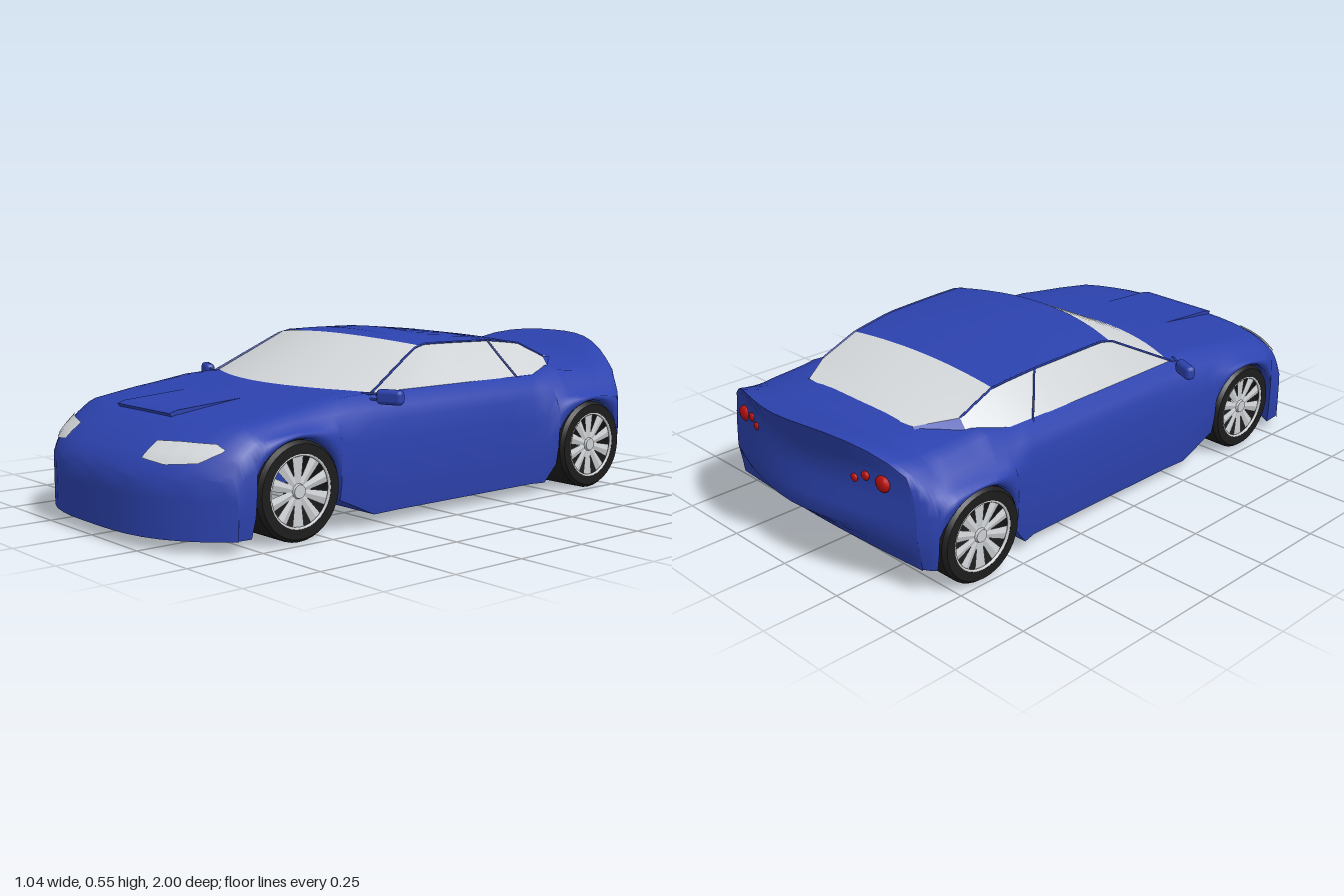
import * as THREE from 'three';
import { toCreasedNormals } from 'three/addons/utils/BufferGeometryUtils.js';
import { RoundedBoxGeometry } from 'three/addons/geometries/RoundedBoxGeometry.js';

const mat = (name, color, side = THREE.FrontSide) => {
  const m = new THREE.MeshStandardMaterial({ color, side });
  m.name = name;
  return m;
};
const paint = mat('bluePaint', 0x2c42ae, THREE.DoubleSide);
const glass = mat('paleGlass', 0xd4d8db, THREE.DoubleSide);
const rubber = mat('blackRubber', 0x1c1c1c);
const silver = mat('silverAlloy', 0xcccfd2);
const red = mat('redLens', 0xbc1010);

const V = (x, y, z) => new THREE.Vector3(x, y, z);
const mix = THREE.MathUtils.lerp;
const mesh = (name, geo, material) => {
  const m = new THREE.Mesh(geo, material);
  m.name = name;
  return m;
};

// Piecewise linear value from [position, value] keys in rising order
function key(u, keys) {
  if (u <= keys[0][0]) return keys[0][1];
  for (let i = 1; i < keys.length; i++) {
    const [a, va] = keys[i - 1], [b, vb] = keys[i];
    if (u <= b) return mix(va, vb, (u - a) / (b - a));
  }
  return keys[keys.length - 1][1];
}

// Surface through rows of points
function loft(rows, crease = 0.7) {
  const n = rows[0].length, pos = [], idx = [];
  rows.forEach(r => r.forEach(p => pos.push(p.x, p.y, p.z)));
  for (let i = 0; i < rows.length - 1; i++) {
    for (let j = 0; j < n - 1; j++) {
      const a = i * n + j, b = a + 1, c = a + n, d = c + 1;
      idx.push(a, b, c, b, d, c);
    }
  }
  const g = new THREE.BufferGeometry();
  g.setAttribute('position', new THREE.Float32BufferAttribute(pos, 3));
  g.setIndex(idx);
  return toCreasedNormals(g, crease);
}

// Row bowed across the car, from its edge to its centre line and back
function arc(w, yEdge, zEdge, yMid, zMid) {
  const row = [];
  for (let i = 0; i <= 16; i++) {
    const t = 1 - i / 8;
    row.push(V(w * t, mix(yMid, yEdge, t * t), mix(zMid, zEdge, t * t)));
  }
  return row;
}

const AXLES = [0.595, -0.65], ARCH = 0.152, AXLE_Y = 0.148;
const NOSE = 0.8, TAIL = -0.83; // flank ends; the middle reaches 1 and -1

// Lower edge of the body side, with wheel arches
function sill(z) {
  for (const a of AXLES) {
    const d = z - a;
    if (Math.abs(d) < ARCH) return AXLE_Y + Math.sqrt(ARCH * ARCH - d * d);
  }
  return key(z, [[-0.81, 0.09], [-0.5, 0.1], [-0.45, 0.037], [0.303, 0.037], [0.44, 0.1], [0.7, 0.035]]);
}

// One ring of the body; side is z at the flank, cap limits the height
function bodyRing(side, cap = 9) {
  const s = Math.sign(side), reach = (s > 0 ? NOSE : -TAIL) - 0.6;
  const f = Math.max(0, (Math.abs(side) - 0.6) / reach);
  const u = f > 0 ? s * (0.6 + 0.4 * f) : side;
  const w = key(u, [[-1, 0.435], [-0.97, 0.468], [-0.94, 0.484], [-0.88, 0.495], [-0.6, 0.497], [-0.47, 0.475],
    [-0.4, 0.457], [0.2, 0.46], [0.45, 0.474], [0.6, 0.482], [0.8, 0.482], [1, 0.472]]);
  const yc = key(u, [[-1, 0.49], [-0.85, 0.438], [-0.7, 0.433], [-0.56, 0.43], [-0.45, 0.4], [0.38, 0.4],
    [0.6, 0.376], [0.82, 0.347], [0.9, 0.304], [0.96, 0.26], [0.985, 0.232], [1, 0.2]]);
  const ys = key(u, [[-1, 0.31], [-0.85, 0.318], [0.6, 0.318], [0.85, 0.302], [0.95, 0.26], [1, 0.2]]);
  const y4 = mix(ys, yc, key(u, [[-1, 0.4], [-0.8, 0.6], [-0.6, 0.72], [-0.45, 0.95], [0.35, 0.95], [0.6, 0.78]]));
  const yb = sill(side), x4 = Math.min(w - 0.03, 0.405);
  // The floor lifts between the wheels of each axle
  const yf = Math.min(yb, key(u, [[-1, 0.09], [-0.93, 0.13], [-0.55, 0.13], [-0.45, 0.037],
    [0.303, 0.037], [0.44, 0.13], [0.8, 0.13], [0.9, 0.035]]));
  const half = [[0, yf], [0.14, yf], [0.27, yf], [0.27, yb], [w - 0.012, yb],
    [w - 0.003, mix(yb, ys, 0.25)], [w, mix(yb, ys, 0.5)], [w - 0.002, mix(yb, ys, 0.78)],
    [Math.min(w - 0.008, 0.461), ys], [Math.min(w - 0.018, 0.438), mix(ys, y4, 0.48)], [x4, y4]];
  for (const k of [0.88, 0.75, 0.6, 0.45, 0.3, 0.15, 0]) half.push([x4 * k, yc - (yc - y4) * k ** 3]);
  const place = ([x, y0]) => {
    const y = Math.min(y0, cap);
    if (f === 0) return V(x, y, side);
    const depth = s > 0 ? 0.4
      : key(y, [[0.1, 0.25], [0.19, 0.357], [0.365, 0.33], [0.42, 0.36], [0.49, 0.4]]);
    const r = Math.min(1, x / 0.48) ** (s > 0 ? 3.2 : 1.7);
    return V(x, y, s * (0.6 + f * mix(depth, reach, r)));
  };
  const pts = half.map(place);
  return [...pts, ...pts.slice(0, -1).reverse().map(p => V(-p.x, p.y, p.z))];
}

function bodyShell() {
  const stations = [0.303, -0.45, -0.56];
  for (const d of [0, 0.002, 0.006, 0.012, 0.018, 0.025, 0.035]) stations.push(NOSE - d, TAIL + d);
  for (let z = -0.4; z < 0.42; z += 0.1) stations.push(z);
  for (const a of AXLES) {
    stations.push(a - ARCH - 0.001, a + ARCH + 0.001);
    for (let i = 0; i <= 20; i++) stations.push(a + (ARCH - 0.0005) * Math.cos(i * Math.PI / 20));
  }
  stations.sort((a, b) => a - b);
  const rear = [0.09, 0.13, 0.19, 0.24, 0.3, 0.365, 0.4, 0.45].map(c => bodyRing(TAIL, c));
  const front = [0.15, 0.09, 0.035].map(c => bodyRing(NOSE, c));
  return loft([...rear, ...stations.map(z => bodyRing(z)), ...front], 1.2);
}

function wheel() {
  const g = new THREE.Group();
  const profile = [[0.109, -0.105], [0.138, -0.105], [0.148, -0.092], [0.148, 0.092],
    [0.138, 0.105], [0.109, 0.105], [0.109, -0.105]].map(p => new THREE.Vector2(...p));
  const tyre = mesh('tyre', toCreasedNormals(new THREE.LatheGeometry(profile, 36), 0.6), rubber);
  tyre.rotation.z = -Math.PI / 2;
  const rim = mesh('rim', new THREE.TorusGeometry(0.107, 0.005, 8, 36), silver);
  rim.rotation.y = Math.PI / 2;
  rim.position.x = 0.1;
  const hub = mesh('hub', new THREE.CylinderGeometry(0.02, 0.03, 0.03, 16), silver);
  hub.rotation.z = -Math.PI / 2;
  hub.position.x = 0.085;
  g.add(tyre, rim, hub);
  const spokeGeo = new THREE.CylinderGeometry(0.021, 0.01, 0.095, 4).toNonIndexed();
  spokeGeo.computeVertexNormals();
  spokeGeo.scale(0.3, 1, 1).translate(0.09, 0.061, 0);
  for (let i = 0; i < 10; i++) {
    const spoke = mesh('spoke', spokeGeo, silver);
    spoke.rotation.x = i * Math.PI / 5;
    g.add(spoke);
  }
  return g;
}

const trim = pts => new THREE.TubeGeometry(new THREE.CatmullRomCurve3(pts, false, 'catmullrom', 0.1), 20, 0.0035, 5);

export function createModel() {
  const car = new THREE.Group();
  car.name = 'sportsCar';
  const body = mesh('body', bodyShell(), paint);
  car.add(body);
  const ray = new THREE.Raycaster();
  const onBody = (x, y, dir, lift) => {
    ray.set(V(x, y, -2 * dir), V(0, 0, dir));
    const hit = ray.intersectObject(body)[0];
    const n = hit.face.normal.clone();
    if (n.z * dir > 0) n.negate();
    return hit.point.addScaledVector(n, lift);
  };

  // Cabin top and screens
  const roofRear = arc(0.32, 0.497, -0.45, 0.511, -0.44);
  const roofFront = arc(0.345, 0.52, 0.03, 0.54, 0.085);
  car.add(mesh('roof', loft([roofRear, arc(0.336, 0.516, -0.29, 0.532, -0.28),
    arc(0.342, 0.521, -0.1, 0.55, -0.1), arc(0.345, 0.522, 0, 0.551, 0.02), roofFront]), paint));
  car.add(mesh('windscreen', loft([roofFront, arc(0.408, 0.385, 0.285, 0.392, 0.385)]), glass));
  car.add(mesh('rearWindow', loft([arc(0.245, 0.428, -0.695, 0.43, -0.705),
    arc(0.322, 0.443, -0.58, 0.465, -0.6), roofRear]), glass));

  // Hood scoop, fading into the hood at its rear
  const wedge = new THREE.Shape([[0.5, 0.36], [0.8, 0.33], [0.818, 0.356], [0.79, 0.364], [0.5, 0.384]]
    .map(p => new THREE.Vector2(...p)));
  const scoop = new THREE.ExtrudeGeometry(wedge, { depth: 0.29, bevelEnabled: false });
  scoop.rotateY(-Math.PI / 2).translate(0.145, 0, 0);
  car.add(mesh('hoodScoop', scoop, paint));

  // Parts of one side, mirrored for the other
  const left = new THREE.Group();
  left.name = 'leftSide';
  const rail = [V(0.408, 0.39, 0.285), V(0.345, 0.52, 0.03), V(0.342, 0.521, -0.1),
    V(0.336, 0.516, -0.29), V(0.32, 0.497, -0.45), V(0.322, 0.443, -0.58)];
  const belt = [V(0.409, 0.386, 0.285), V(0.411, 0.382, 0.03), V(0.411, 0.382, -0.1),
    V(0.411, 0.382, -0.29), V(0.407, 0.382, -0.45), V(0.365, 0.385, -0.58)];
  left.add(mesh('sideWindow', loft([rail, belt]), glass));
  left.add(mesh('windowFrame', trim(rail), paint));
  left.add(mesh('doorPillar', trim([V(0.336, 0.516, -0.29), V(0.374, 0.448, -0.33), V(0.409, 0.385, -0.37)]), paint));
  left.add(mesh('rearPillar', loft([[V(0.322, 0.443, -0.58), V(0.365, 0.385, -0.58)],
    [V(0.245, 0.428, -0.695), V(0.35, 0.38, -0.72)]]), paint));

  const mirror = mesh('mirror', new RoundedBoxGeometry(0.086, 0.046, 0.034, 2, 0.014), paint);
  mirror.position.set(0.476, 0.389, 0.26);
  mirror.rotation.y = 0.4;
  left.add(mirror);
  for (const y of [0.38, 0.396]) {
    const path = new THREE.LineCurve3(V(0.39, y, 0.3), V(0.45, y, 0.27));
    left.add(mesh('mirrorArm', new THREE.TubeGeometry(path, 1, 0.004, 6), paint));
  }

  // Headlight lying on the nose
  const upper = [[0.215, 0.293], [0.3, 0.297], [0.395, 0.296], [0.42, 0.283]];
  const lower = [[0.215, 0.25], [0.3, 0.24], [0.385, 0.248], [0.42, 0.276]];
  const lamp = [];
  for (let i = 0; i <= 7; i++) {
    const row = [];
    for (let j = 0; j <= 16; j++) {
      const x = mix(0.215, 0.42, j / 16);
      row.push(onBody(x, mix(key(x, lower), key(x, upper), i / 7), -1, 0.006));
    }
    lamp.push(row);
  }
  left.add(mesh('headlight', loft(lamp), glass));

  // Tail lamps
  for (const [x, y, r] of [[0.33, 0.343, 0.028], [0.272, 0.353, 0.016], [0.235, 0.338, 0.014]]) {
    const lens = mesh('tailLight', new THREE.SphereGeometry(r, 12, 8), red);
    lens.scale.set(1, 0.9, 0.5);
    lens.position.copy(onBody(x, y, 1, 0));
    left.add(lens);
  }

  AXLES.forEach((z, i) => {
    const w = wheel();
    w.name = i ? 'rearWheel' : 'frontWheel';
    w.position.set(i ? 0.384 : 0.369, AXLE_Y, z);
    left.add(w);
  });
  const right = left.clone();
  right.name = 'rightSide';
  right.scale.x = -1;
  car.add(left, right);
  return car;
}
